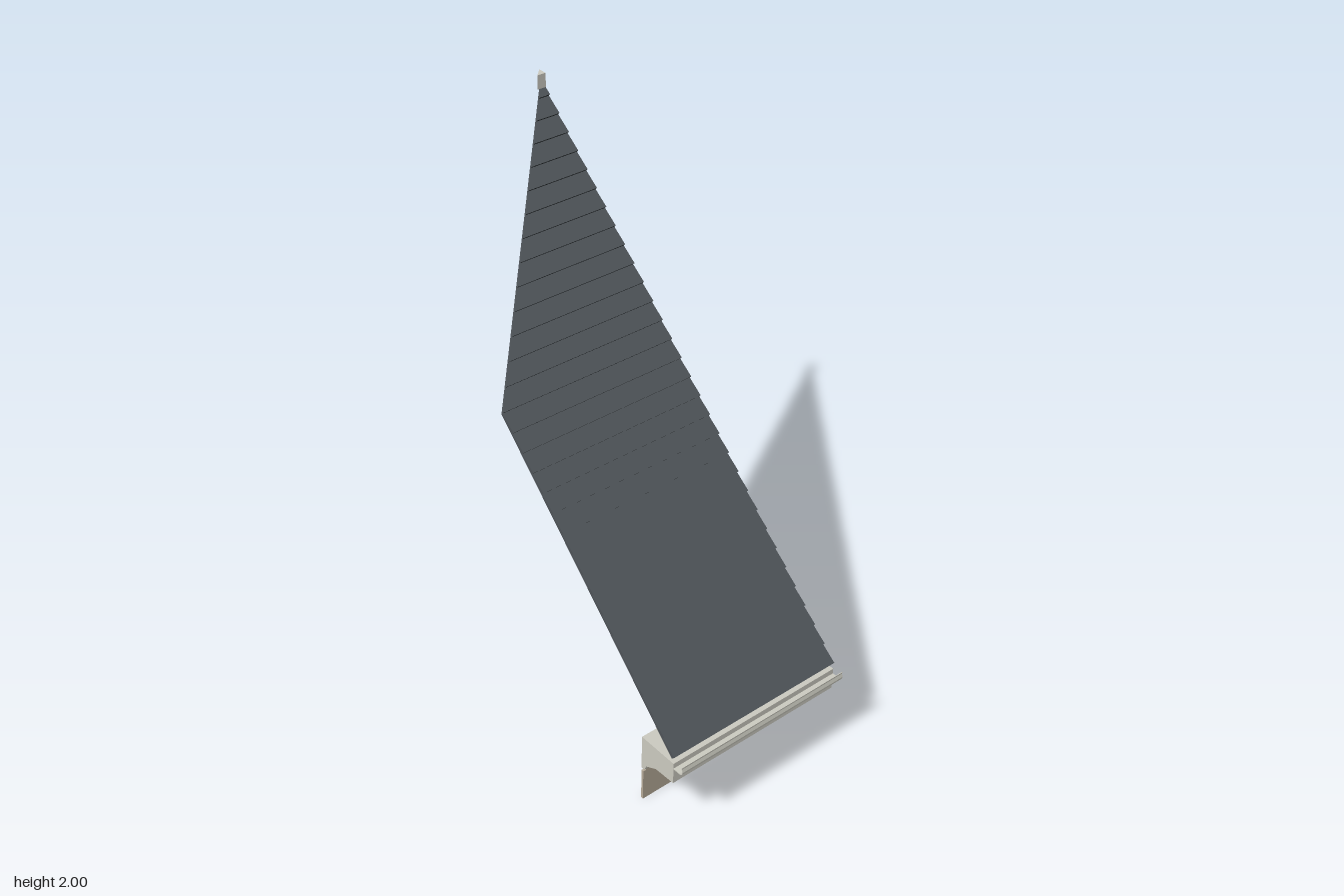
import * as THREE from 'three';

const mat = (name, color, side = THREE.FrontSide) => {
  const m = new THREE.MeshStandardMaterial({ color, side });
  m.name = name;
  return m;
};

const X0 = -0.375, X1 = 0.372, WIDTH = X1 - X0, MID = (X0 + X1) / 2;

export function createModel() {
  const slate = mat('slate', 0x4d5257);
  const slateEdge = mat('slateEdge', 0x24282a);
  const trim = mat('trim', 0xc9c8be);
  const gutterMetal = mat('gutterMetal', 0xc9c8be, THREE.DoubleSide);
  const wallStone = mat('wallStone', 0xb3a896);

  const model = new THREE.Group();
  model.name = 'roofSection';

  const add = (name, geometry, material, parent = model) => {
    const mesh = new THREE.Mesh(geometry, material);
    mesh.name = name;
    parent.add(mesh);
    return mesh;
  };
  const box = (name, material, x, y, z, w, h, d, parent) =>
    add(name, new THREE.BoxGeometry(w, h, d), material, parent).position.set(x, y, z);

  // Extrudes a [z, y] profile along x
  const sweep = (points, from, length) => {
    const shape = new THREE.Shape(points.map(([z, y]) => new THREE.Vector2(-z, y)));
    const g = new THREE.ExtrudeGeometry(shape, { depth: length, bevelEnabled: false });
    g.rotateY(Math.PI / 2);
    return g.translate(from, 0, 0);
  };

  // Roof: overlapping courses on a 45 degree slope, cut diagonally along the hip
  const roof = new THREE.Group();
  roof.name = 'roofSlope';
  model.add(roof);
  const EAVE = 0.8, KINK = -0.11, PEAK = -0.852, STEP = (EAVE - KINK) / 17;
  const leftEdge = z => z >= KINK ? X0 : X0 + WIDTH * (KINK - z) / (KINK - PEAK);
  for (let i = 0; i < 31; i++) {
    const zFront = EAVE - i * STEP;
    const zBack = Math.max(PEAK, zFront - STEP);
    if (zFront - zBack < 0.002) break;
    const g = new THREE.BoxGeometry(1, 1, 1);
    const p = g.attributes.position;
    for (let k = 0; k < p.count; k++) {
      const front = p.getZ(k) > 0;
      const z = front ? zFront : zBack;
      const lift = p.getY(k) < 0 ? 0 : (front ? 0.018 : 0.007) * Math.SQRT1_2;
      const x = p.getX(k) > 0 ? X1 : leftEdge(z);
      p.setXYZ(k, x, 1.107 - z + lift, z + lift);
    }
    g.computeVertexNormals();
    add('shingleCourse' + (i + 1), g, [slate, slate, slate, slate, slateEdge, slate], roof);
  }

  // Ridge end block, cut along the hip
  const corner = new THREE.Shape([
    new THREE.Vector2(X1, 0.855), new THREE.Vector2(0.335, 0.818), new THREE.Vector2(X1, 0.818),
  ]);
  const ridge = new THREE.ExtrudeGeometry(corner, { depth: 0.055, bevelEnabled: false });
  ridge.rotateX(-Math.PI / 2);
  add('ridgeBlock', ridge, trim).position.y = 1.945;

  // Eaves box with its stepped soffit
  add('cornice', sweep([
    [0.81, 0.29], [0.81, 0.2], [0.72, 0.195], [0.67, 0.168], [0.66, 0.145], [0.645, 0.145], [0.645, 0.29],
  ], X0, WIDTH), trim);

  // Brackets under the soffit
  for (let i = -2; i <= 2; i++) {
    add('bracket', sweep([
      [0.78, 0.2], [0.77, 0.176], [0.66, 0.146], [0.655, 0.2],
    ], i * 0.149 - 0.011, 0.022), trim);
  }

  // Open gutter with a curled front lip
  const path = [[0.81, 0.265], [0.842, 0.265], [0.853, 0.272], [0.857, 0.284], [0.853, 0.297], [0.855, 0.305]];
  const inner = path.slice().reverse().map(([z, y], i) => [z - (i < 5 ? 0.003 : 0), y + (i > 3 ? 0.003 : 0)]);
  add('gutter', sweep(path.concat(inner), X0, WIDTH), gutterMetal);

  // Wall panel with small tabs reaching up to the cornice
  box('wall', wallStone, MID, 0.0665, 0.65, WIDTH, 0.133, 0.01);
  for (let i = 0; i < 10; i++) {
    box('wallTab', wallStone, X0 + (i + 0.5) * WIDTH / 10, 0.14, 0.65, 0.05, 0.014, 0.01);
  }
  return model;
}
